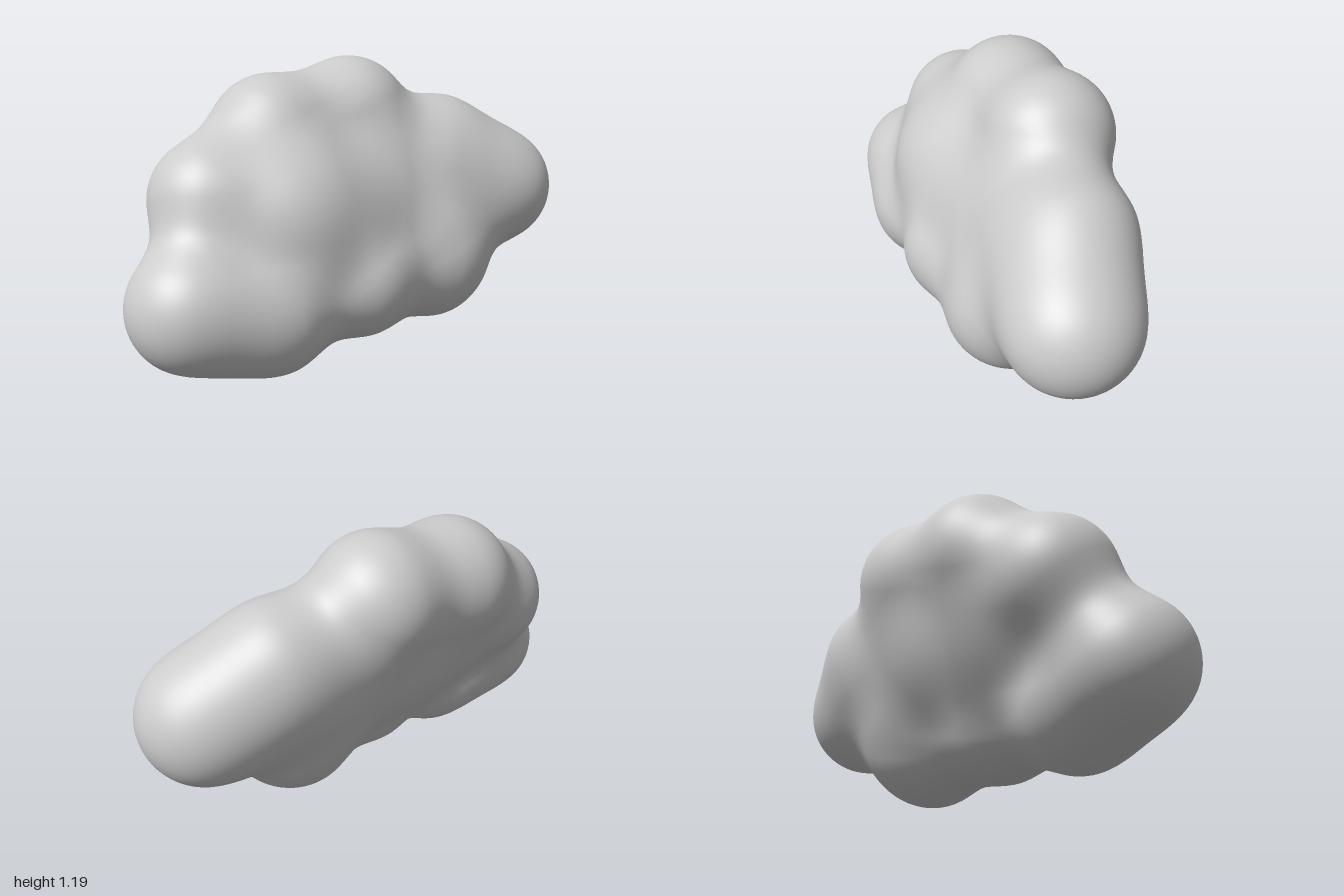
import * as THREE from 'three';

// Puffs as capsules: start x, y, z, end x, y, z, radius (start = end is a ball)
const ball = (x, y, z, r) => [x, y, z, x, y, z, r];
const PUFFS = [
  ball(-0.20, 0.325, 0.74, 0.258),                      // low front
  ball(-0.05, 0.265, 0.48, 0.265),                      // bottom front
  ball(-0.30, 0.68, 0.51, 0.255),                       // upper front
  [-0.27, 0.88, 0.18, 0.09, 0.325, 0.08, 0.265],        // crown front to bottom middle
  [-0.14, 0.92, -0.18, 0.19, 0.312, -0.31, 0.268],      // crown back to bottom back
  ball(-0.08, 0.61, 0.29, 0.262),                       // inner front fill
  ball(-0.03, 0.61, -0.06, 0.22),                       // inner middle fill
  ball(0.095, 0.74, -0.53, 0.258),                      // upper back
  [0.13, 0.60, -0.47, 0.17, 0.45, -0.40, 0.23],         // upper back to bottom back
  ball(0.285, 0.565, -0.73, 0.27),                      // rear tip
];
const BLEND = 0.18;
const STEP = 0.025;

function capsule(p, [ax, ay, az, bx, by, bz, r]) {
  const dx = bx - ax, dy = by - ay, dz = bz - az;
  const px = p[0] - ax, py = p[1] - ay, pz = p[2] - az;
  const len = dx * dx + dy * dy + dz * dz;
  const t = len ? Math.min(1, Math.max(0, (px * dx + py * dy + pz * dz) / len)) : 0;
  return Math.hypot(px - t * dx, py - t * dy, pz - t * dz) - r;
}

// Smooth union of all puffs
function field(p) {
  let d = 10;
  for (const puff of PUFFS) {
    const e = capsule(p, puff);
    const h = Math.max(BLEND - Math.abs(d - e), 0) / BLEND;
    d = Math.min(d, e) - h * h * BLEND * 0.25;
  }
  return d;
}

function gradient(p) {
  const e = 0.002;
  return [0, 1, 2].map((a) => {
    const hi = [...p], lo = [...p];
    hi[a] += e;
    lo[a] -= e;
    return (field(hi) - field(lo)) / (2 * e);
  });
}

// Wraps the zero level of the field in a smooth quad net
function blobGeometry(min, max) {
  const n = min.map((m, a) => Math.ceil((max[a] - m) / STEP) + 1);
  const stride = [1, n[0], n[0] * n[1]];
  const values = new Float32Array(n[0] * n[1] * n[2]);
  const eachPoint = (visit) => {
    for (let k = 0; k < n[2]; k++)
      for (let j = 0; j < n[1]; j++)
        for (let i = 0; i < n[0]; i++) visit([i, j, k], i + j * stride[1] + k * stride[2]);
  };
  eachPoint((c, id) => { values[id] = field(c.map((v, a) => min[a] + v * STEP)); });

  const cellVertex = new Int32Array(values.length).fill(-1);
  const positions = [], normals = [], indices = [];

  // One vertex per crossed cell, pulled onto the surface
  eachPoint((c, id) => {
    if (c.some((v, a) => v >= n[a] - 1)) return;
    let inside = 0;
    for (let q = 0; q < 8; q++) {
      const corner = id + (q & 1) + ((q >> 1) & 1) * stride[1] + (q >> 2) * stride[2];
      if (values[corner] < 0) inside++;
    }
    if (inside === 0 || inside === 8) return;
    const p = c.map((v, a) => min[a] + (v + 0.5) * STEP);
    for (let s = 0; s < 4; s++) {
      const g = gradient(p), d = field(p);
      const g2 = Math.max(g[0] * g[0] + g[1] * g[1] + g[2] * g[2], 0.1);
      for (let a = 0; a < 3; a++) p[a] -= (d * g[a]) / g2;
    }
    const normal = new THREE.Vector3(...gradient(p)).normalize();
    cellVertex[id] = positions.length / 3;
    positions.push(...p);
    normals.push(normal.x, normal.y, normal.z);
  });

  // One quad around each crossed grid edge
  eachPoint((c, id) => {
    for (let a = 0; a < 3; a++) {
      const b = (a + 1) % 3, d = (a + 2) % 3;
      if (c[a] >= n[a] - 1 || c[b] < 1 || c[d] < 1) continue;
      const inside = values[id] < 0;
      if (inside === values[id + stride[a]] < 0) continue;
      const quad = [id - stride[b] - stride[d], id - stride[d], id, id - stride[b]].map((v) => cellVertex[v]);
      if (!inside) quad.reverse();
      indices.push(quad[0], quad[1], quad[2], quad[0], quad[2], quad[3]);
    }
  });

  const geometry = new THREE.BufferGeometry();
  geometry.setAttribute('position', new THREE.Float32BufferAttribute(positions, 3));
  geometry.setAttribute('normal', new THREE.Float32BufferAttribute(normals, 3));
  geometry.setIndex(indices);
  return geometry;
}

export function createModel() {
  const group = new THREE.Group();
  group.name = 'cloud';
  const material = new THREE.MeshStandardMaterial({ color: 0xcccccc });
  const body = new THREE.Mesh(blobGeometry([-0.7, -0.1, -1.1], [0.7, 1.3, 1.1]), material);
  body.name = 'cloudBody';
  group.add(body);
  return group;
}
